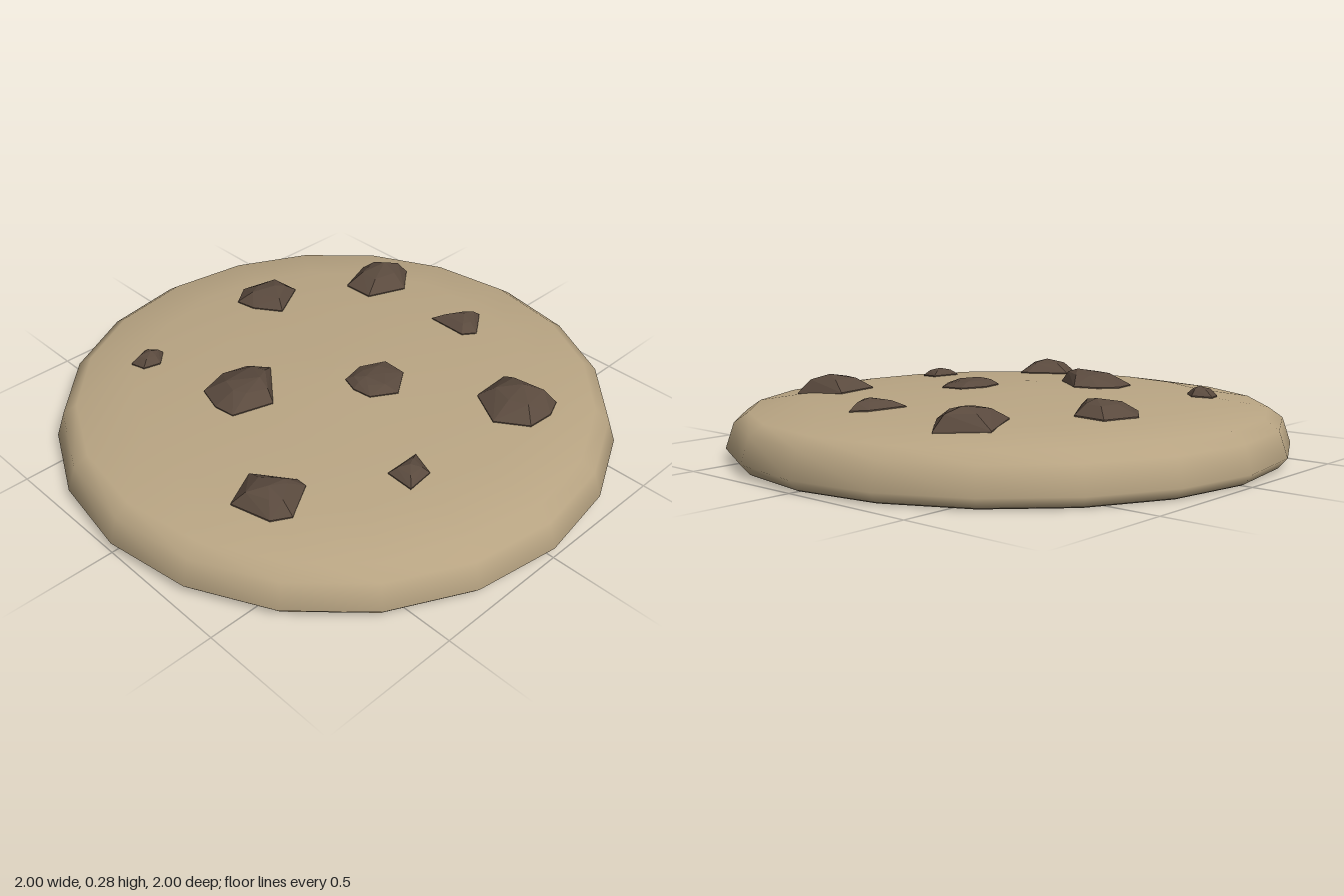
import * as THREE from 'three';
import { ConvexGeometry } from 'three/addons/geometries/ConvexGeometry.js';

const SIDES = 20;

// Domed upper surface and rounded rim, from the lower edge to the centre
const CRUST = [[0.97, 0.005], [1, 0.04], [0.97, 0.13], [0.92, 0.165], [0.72, 0.197], [0.45, 0.212], [0.2, 0.224], [0, 0.226]];

// Each chip: peak [x, y, z], then its outline as [x, z] corners
const CHIPS = [
  { peak: [-0.41, 0.235, -0.54], outline: [[-0.48, -0.57], [-0.4, -0.6], [-0.36, -0.54], [-0.41, -0.49], [-0.47, -0.51]] },
  { peak: [0.19, 0.255, -0.54], outline: [[0.06, -0.61], [0.14, -0.67], [0.27, -0.63], [0.28, -0.52], [0.13, -0.43], [0.07, -0.53]] },
  { peak: [0.62, 0.26, -0.36], outline: [[0.45, -0.4], [0.61, -0.47], [0.72, -0.33], [0.6, -0.23], [0.45, -0.28]] },
  { peak: [-0.27, 0.276, -0.1], outline: [[-0.41, -0.24], [-0.3, -0.27], [-0.21, -0.24], [-0.16, -0.17], [-0.29, -0.01], [-0.43, -0.06], [-0.44, -0.14]] },
  { peak: [0.59, 0.24, 0.09], outline: [[0.51, 0], [0.63, 0.05], [0.67, 0.1], [0.56, 0.18], [0.51, 0.15]] },
  { peak: [0.02, 0.253, 0.13], outline: [[-0.02, 0.07], [0.07, 0.05], [0.16, 0.09], [0.16, 0.18], [0.06, 0.25], [-0.03, 0.2], [-0.04, 0.13]] },
  { peak: [-0.61, 0.255, 0.33], outline: [[-0.71, 0.26], [-0.58, 0.2], [-0.49, 0.33], [-0.49, 0.37], [-0.61, 0.44], [-0.67, 0.4]] },
  { peak: [-0.2, 0.235, 0.55], outline: [[-0.26, 0.51], [-0.13, 0.51], [-0.16, 0.6], [-0.26, 0.61]] },
  { peak: [0.37, 0.262, 0.55], outline: [[0.26, 0.44], [0.42, 0.43], [0.45, 0.64], [0.38, 0.67], [0.27, 0.67], [0.19, 0.57]] },
];

// Height of the crust at a given radius
function crustHeight(r) {
  for (let i = CRUST.length - 1; i > 0; i--) {
    const [r0, y0] = CRUST[i], [r1, y1] = CRUST[i - 1];
    if (r <= r1) return y0 + (y1 - y0) * (r - r0) / (r1 - r0);
  }
  return 0;
}

// Faceted nugget: buried base, low rim and a small sloping crown
function chipGeometry({ peak: [px, py, pz], outline }) {
  const points = [new THREE.Vector3(px, py, pz)];
  outline.forEach(([x, z], i) => {
    const y = crustHeight(Math.hypot(x, z));
    points.push(new THREE.Vector3(x, y - 0.03, z), new THREE.Vector3(x, y + 0.004, z));
    const k = i % 2 ? 0.5 : 0.6;
    points.push(new THREE.Vector3(px + (x - px) * k, y + (py - y) * 0.72, pz + (z - pz) * k));
  });
  return new ConvexGeometry(points);
}

export function createModel() {
  const model = new THREE.Group();
  model.name = 'cookie';
  const dough = new THREE.MeshStandardMaterial({ color: 0xbaa684 });
  const chocolate = new THREE.MeshStandardMaterial({ color: 0x5a4a3e, flatShading: true });

  // Rounded biscuit body
  const body = new THREE.Mesh(new THREE.LatheGeometry(CRUST.map(([r, y]) => new THREE.Vector2(r, y)), SIDES), dough);
  body.name = 'biscuit';
  model.add(body);

  // Flat underside with a crisp edge
  const base = new THREE.Mesh(new THREE.LatheGeometry([new THREE.Vector2(0, 0), new THREE.Vector2(0.96, 0), new THREE.Vector2(0.97, 0.005)], SIDES), dough);
  base.name = 'underside';
  model.add(base);

  // Scattered chocolate pieces
  const chips = new THREE.Group();
  chips.name = 'chocolateChips';
  CHIPS.forEach((chip, i) => {
    const mesh = new THREE.Mesh(chipGeometry(chip), chocolate);
    mesh.name = `chocolateChip${i + 1}`;
    chips.add(mesh);
  });
  model.add(chips);
  return model;
}
